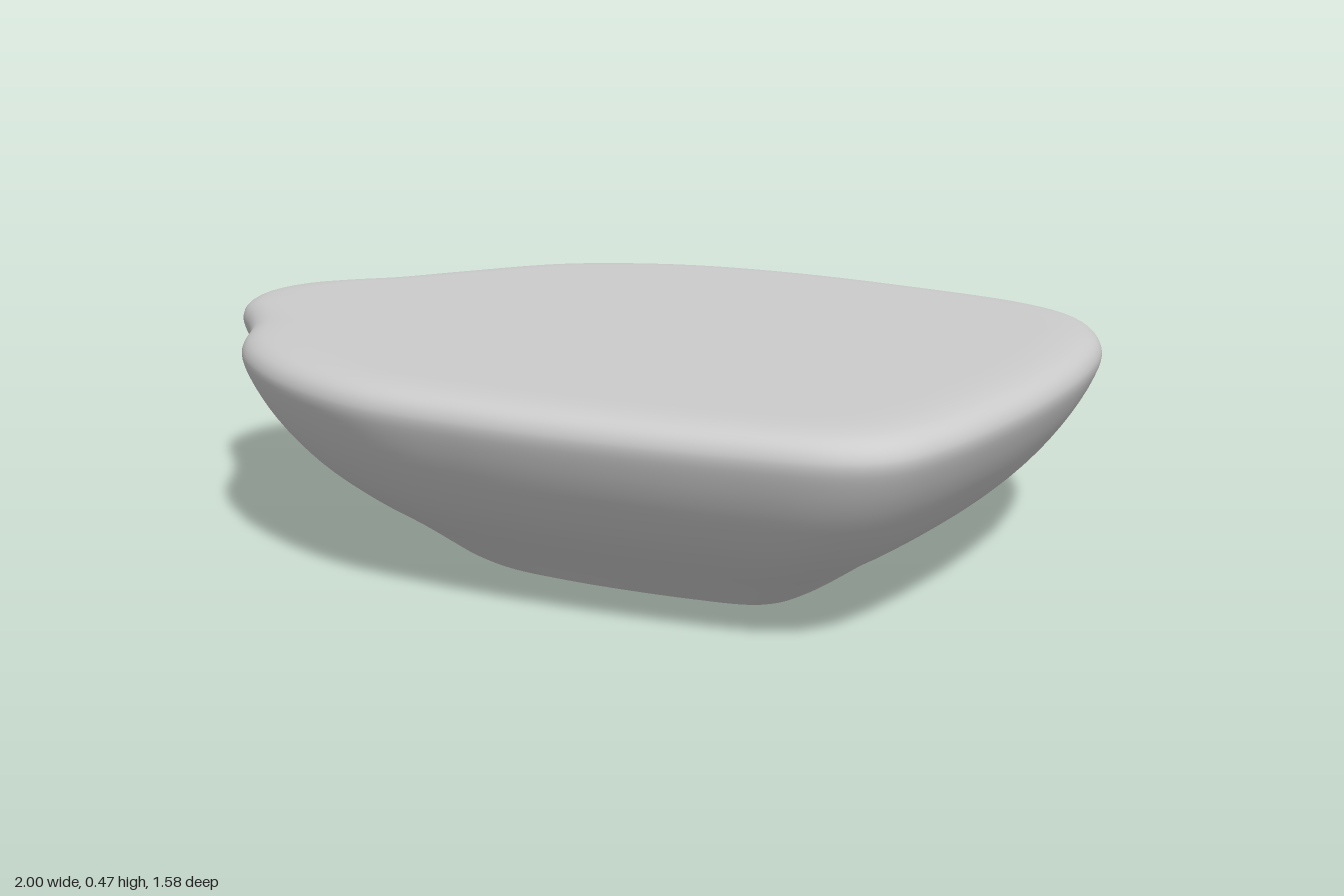
import * as THREE from 'three';

// Plan outline (x, z) at the widest level, clockwise from the spout tip
const OUTLINE = [
  [-1, 0.06], [-0.98, -0.05], [-0.92, -0.13], [-0.83, -0.22], [-0.72, -0.38], [-0.56, -0.59],
  [-0.4, -0.695], [-0.2, -0.765], [0.08, -0.79], [0.4, -0.765], [0.72, -0.705], [0.86, -0.62],
  [0.95, -0.46], [0.99, -0.25], [1, 0], [0.985, 0.25], [0.95, 0.48], [0.9, 0.62],
  [0.82, 0.69], [0.6, 0.74], [0.3, 0.775], [0.05, 0.785], [-0.2, 0.77], [-0.45, 0.68],
  [-0.62, 0.57], [-0.71, 0.48], [-0.8, 0.34], [-0.88, 0.25], [-0.96, 0.17],
];

// Section (outline scale, height) from the open foot up to the flat top
const PROFILE = [
  [0.537, 0], [0.65, 0.072], [0.755, 0.133], [0.855, 0.205], [0.935, 0.29], [0.985, 0.37],
  [1, 0.415], [0.99, 0.44], [0.965, 0.457], [0.925, 0.466], [0.87, 0.47],
];

const PIVOT_X = 0.118;

function createShell() {
  const sides = 160;
  const loop = new THREE.CatmullRomCurve3(
    OUTLINE.map(([x, z]) => new THREE.Vector3(x, 0, z)), true).getSpacedPoints(sides).slice(0, sides);
  const section = new THREE.CatmullRomCurve3(
    PROFILE.map(([s, y]) => new THREE.Vector3(s, y, 0))).getPoints(40);
  // Flat rings of the top
  for (const s of [0.8, 0.5, 0.2]) section.push(new THREE.Vector3(s, 0.47, 0));

  const positions = [], indices = [];
  section.forEach(({ x: s, y }) => {
    for (const p of loop) positions.push(PIVOT_X + (p.x - PIVOT_X) * s, y, p.z * s);
  });
  const at = (j, i) => j * sides + (i % sides);
  const last = section.length - 1, centre = section.length * sides;
  positions.push(PIVOT_X, 0.47, 0);
  for (let i = 0; i < sides; i++) {
    for (let j = 0; j < last; j++) {
      indices.push(at(j, i), at(j + 1, i), at(j, i + 1));
      indices.push(at(j, i + 1), at(j + 1, i), at(j + 1, i + 1));
    }
    indices.push(at(last, i), centre, at(last, i + 1));
  }
  const geometry = new THREE.BufferGeometry();
  geometry.setAttribute('position', new THREE.Float32BufferAttribute(positions, 3));
  geometry.setIndex(indices);
  geometry.computeVertexNormals();
  return geometry;
}

export function createModel() {
  const group = new THREE.Group();
  group.name = 'roundedShell';
  // Thin shell, open underneath
  const shell = new THREE.Mesh(createShell(),
    new THREE.MeshStandardMaterial({ color: 0xcccccc, side: THREE.DoubleSide }));
  shell.name = 'shell';
  group.add(shell);
  return group;
}
